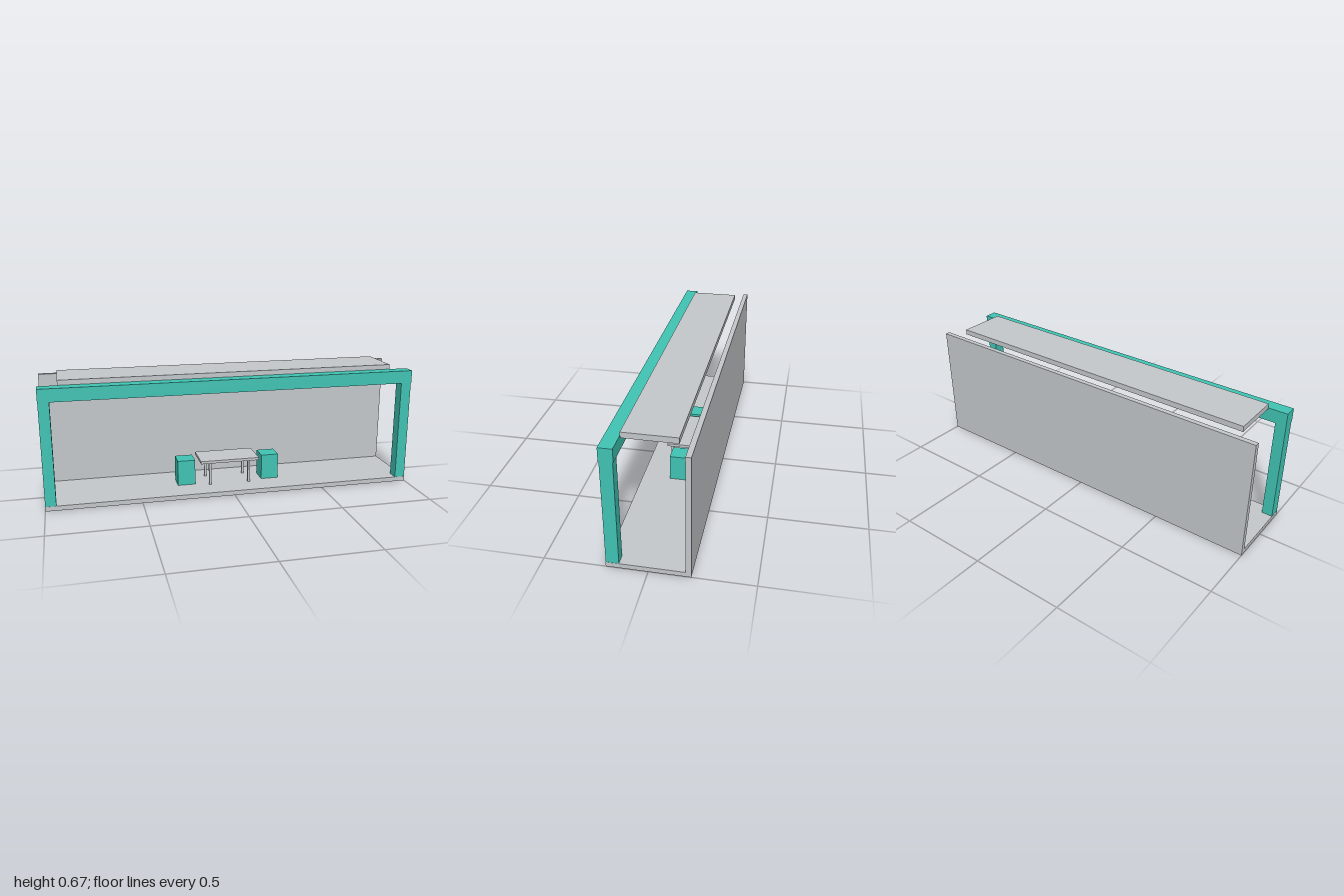
import * as THREE from 'three';

export function createModel() {
  const model = new THREE.Group();
  const grey = new THREE.MeshStandardMaterial({ color: 0xc4c8cb });
  grey.name = 'light grey';
  const teal = new THREE.MeshStandardMaterial({ color: 0x40c4b4 });
  teal.name = 'teal';

  // Box given by its minimum and maximum on each axis
  function box(name, material, [x0, x1], [y0, y1], [z0, z1], parent = model) {
    const mesh = new THREE.Mesh(new THREE.BoxGeometry(x1 - x0, y1 - y0, z1 - z0), material);
    mesh.position.set((x0 + x1) / 2, (y0 + y1) / 2, (z0 + z1) / 2);
    mesh.name = name;
    parent.add(mesh);
    return mesh;
  }

  // Shell: floor, back wall and floating roof panel
  box('floor', grey, [-1, 1], [0, 0.025], [-0.2, 0.2]);
  box('backWall', grey, [-1, 1], [0.025, 0.64], [-0.2, -0.174]);
  box('roofPanel', grey, [-0.9, 0.9], [0.638, 0.667], [-0.13, 0.13]);

  // Front portal frame: beam on two posts
  const frame = new THREE.Group();
  frame.name = 'frontFrame';
  model.add(frame);
  box('beam', teal, [-1, 1], [0.573, 0.642], [0.134, 0.202], frame);
  for (const side of [-1, 1]) {
    const post = box('post', teal, [0.943, 0.999], [0.002, 0.573], [0.137, 0.199], frame);
    post.position.x *= side;
    post.name = side > 0 ? 'leftPost' : 'rightPost';
  }

  // Table
  const table = new THREE.Group();
  table.name = 'table';
  model.add(table);
  box('tableTop', grey, [-0.164, 0.164], [0.152, 0.167], [-0.09, 0.09], table);
  for (const x of [-0.11, 0.11]) {
    for (const z of [-0.07, 0.07]) {
      box('tableLeg', grey, [x - 0.0065, x + 0.0065], [0.025, 0.152], [z - 0.007, z + 0.007], table);
    }
  }

  // Block stools at both ends of the table
  for (const side of [-1, 1]) {
    const stool = box('stool', teal, [0.19, 0.287], [0.025, 0.165], [-0.05, 0.05]);
    stool.position.x *= side;
    stool.name = side > 0 ? 'leftStool' : 'rightStool';
  }

  return model;
}
